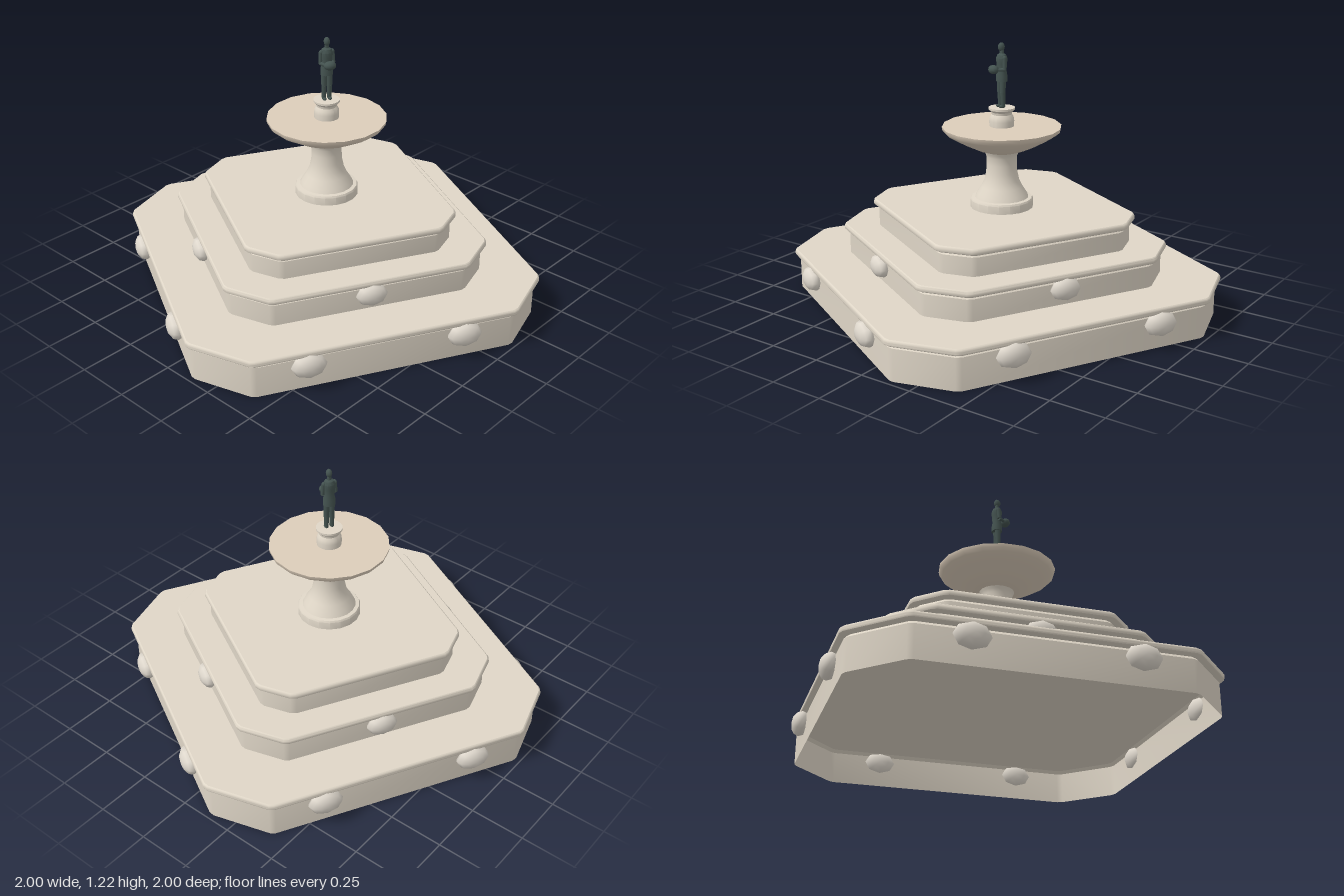
import * as THREE from 'three';
import { toCreasedNormals } from 'three/addons/utils/BufferGeometryUtils.js';

const stone = new THREE.MeshStandardMaterial({ color: 0xdfd6c7, side: THREE.DoubleSide });
const basinStone = new THREE.MeshStandardMaterial({ color: 0xdccdba });
const bossStone = new THREE.MeshStandardMaterial({ color: 0xdfd8cd });
const bronze = new THREE.MeshStandardMaterial({ color: 0x445350 });

function add(parent, name, geometry, material, x = 0, y = 0, z = 0) {
  const mesh = new THREE.Mesh(geometry, material);
  mesh.name = name;
  mesh.position.set(x, y, z);
  parent.add(mesh);
  return mesh;
}

// Outline of a square with chamfered, slightly eased corners
function outline(half, side, inset) {
  const ease = 0.014, e = ease * 0.707;
  const h = half - inset, l = side - inset * 0.414;
  const quarter = [[-l - e, h - e], [-l + ease, h], [l - ease, h], [l + e, h - e]];
  const points = [];
  for (let k = 0; k < 4; k++) {
    for (const [x, z] of quarter) {
      points.push([[x, z], [z, -x], [-x, -z], [-z, x]][k]);
    }
  }
  return points;
}

// Shell, open below and closed on top, lofted through outlines at the [inset, height] profile
function tierGeometry(half, side, profile) {
  const positions = [], index = [], n = 16, last = profile.length - 1;
  for (const [inset, y] of profile) {
    for (const [x, z] of outline(half, side, inset)) positions.push(x, y, z);
  }
  const top = positions.length / 3;
  positions.push(0, profile[last][1], 0);
  for (let i = 0; i < n; i++) {
    const i2 = (i + 1) % n;
    for (let j = 0; j < last; j++) {
      const a = j * n + i, b = j * n + i2;
      index.push(a, b, b + n, a, b + n, a + n);
    }
    index.push(top, last * n + i, last * n + i2);
  }
  const g = new THREE.BufferGeometry();
  g.setAttribute('position', new THREE.Float32BufferAttribute(positions, 3));
  g.setIndex(index);
  return toCreasedNormals(g, 0.6);
}

function lathe(points, segments, crease = 0.6) {
  const g = new THREE.LatheGeometry(points.map(([r, y]) => new THREE.Vector2(r, y)), segments);
  return toCreasedNormals(g, crease);
}

// Limb tapering between two points
function limb(parent, name, from, to, r1, r2) {
  const a = new THREE.Vector3(...from), b = new THREE.Vector3(...to);
  const d = b.clone().sub(a);
  const mesh = add(parent, name, new THREE.CylinderGeometry(r2, r1, d.length(), 8), bronze);
  mesh.position.copy(a).add(b).multiplyScalar(0.5);
  mesh.quaternion.setFromUnitVectors(new THREE.Vector3(0, 1, 0), d.normalize());
}

function ball(parent, name, position, scale) {
  add(parent, name, new THREE.SphereGeometry(1, 10, 8), bronze, ...position).scale.set(...scale);
}

// Faceted oval whose pole points out of the wall
function boss(parent, name, position, scale) {
  const g = new THREE.SphereGeometry(1, 8, 6).rotateX(Math.PI / 2);
  add(parent, name, g, bossStone, ...position).scale.set(...scale);
}

function createStatue() {
  const s = new THREE.Group();
  s.name = 'statue';
  for (const side of [-1, 1]) {
    ball(s, 'foot', [side * 0.013, 0.006, 0.005], [0.009, 0.008, 0.016]);
    limb(s, 'lowerLeg', [side * 0.013, 0.005, 0], [side * 0.013, 0.07, 0.002], 0.01, 0.013);
    limb(s, 'upperLeg', [side * 0.013, 0.07, 0.002], [side * 0.012, 0.15, 0], 0.013, 0.016);
    ball(s, 'shoulder', [side * 0.026, 0.226, 0], [0.01, 0.012, 0.011]);
    limb(s, 'upperArm', [side * 0.031, 0.177, 0.002], [side * 0.027, 0.227, 0], 0.009, 0.01);
    limb(s, 'forearm', [side * 0.031, 0.177, 0.002], [side * 0.016, 0.175, 0.032], 0.009, 0.007);
    ball(s, 'hand', [side * 0.014, 0.174, 0.036], [0.008, 0.007, 0.009]);
  }
  const coat = [[0, 0.118], [0.029, 0.12], [0.029, 0.145], [0.024, 0.17], [0.027, 0.2],
    [0.029, 0.225], [0.022, 0.24], [0.011, 0.246], [0.01, 0.262], [0, 0.262]];
  add(s, 'coat', lathe(coat, 12), bronze).scale.z = 0.85;
  ball(s, 'head', [0, 0.275, 0.002], [0.014, 0.02, 0.016]);
  ball(s, 'carriedBowl', [0, 0.176, 0.042], [0.029, 0.02, 0.023]);
  return s;
}

export function createModel() {
  const model = new THREE.Group();
  model.name = 'fountain';

  // Stepped base, turned on its axis; each tier is a hollow body under a moulded slab
  const base = new THREE.Group();
  base.name = 'steppedBase';
  base.rotation.y = -0.5;
  model.add(base);
  const tiers = [
    ['lowerTier', 0.817, 0.595, 0, 0.16, 0.19],
    ['middleTier', 0.613, 0.45, 0.19, 0.303, 0.333],
    ['upperTier', 0.492, 0.37, 0.333, 0.432, 0.462],
  ];
  for (const [name, half, side, y0, y1, y2] of tiers) {
    add(base, name + 'Body', tierGeometry(half, side, [
      [0.022, y0], [0.022, y1 - 0.014], [0.034, y1],
    ]), stone);
    add(base, name + 'Slab', tierGeometry(half, side, [
      [0.05, y1], [0.008, y1], [0.002, y1 + 0.004], [0, y1 + 0.01],
      [0, y2 - 0.011], [0.003, y2 - 0.004], [0.008, y2],
    ]), stone);
  }

  // Oval bosses on all four sides
  for (let k = 0; k < 4; k++) {
    const face = new THREE.Group();
    face.name = 'bossRow';
    face.rotation.y = k * Math.PI / 2;
    base.add(face);
    for (const x of [-0.35, 0.35]) {
      boss(face, 'lowerBoss', [x, 0.118, 0.81], [0.079, 0.057, 0.041]);
    }
    boss(face, 'middleBoss', [0, 0.265, 0.605], [0.072, 0.052, 0.039]);
  }

  // Stem, basin and finial pedestal
  add(model, 'stem', lathe([[0.145, 0.455], [0.145, 0.498], [0.14, 0.506], [0.123, 0.508],
    [0.114, 0.527], [0.094, 0.558], [0.08, 0.588], [0.072, 0.625], [0.069, 0.665],
    [0.07, 0.7], [0.076, 0.715], [0.085, 0.732]], 18), stone);
  add(model, 'basin', lathe([[0, 0.724], [0.083, 0.725], [0.12, 0.738], [0.17, 0.762],
    [0.22, 0.79], [0.255, 0.811], [0.269, 0.824], [0.272, 0.84], [0, 0.84]], 18, 1), basinStone);
  add(model, 'statuePedestal', lathe([[0.056, 0.835], [0.057, 0.865], [0.054, 0.882],
    [0.046, 0.895], [0.048, 0.906], [0.06, 0.917], [0.06, 0.926], [0, 0.926]], 18), stone);

  const statue = createStatue();
  statue.position.y = 0.926;
  statue.rotation.y = 1.1;
  model.add(statue);
  return model;
}
